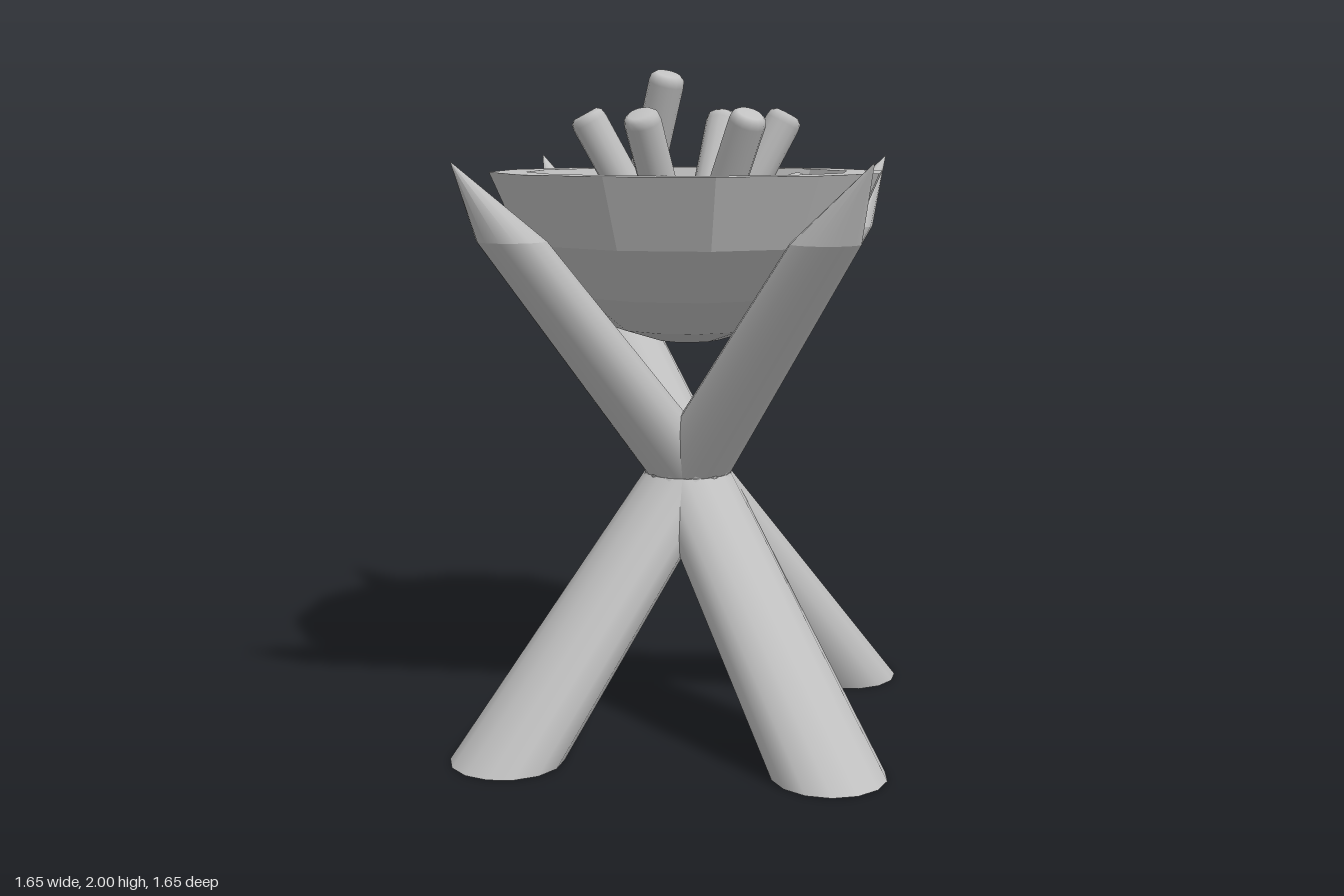
import * as THREE from 'three';

const CROSS_Y = 0.78; // height where the poles cross
const SLOPE = 0.85;   // outward lean per unit of height

export function createModel() {
  const model = new THREE.Group();
  model.name = 'brazier';
  const stone = new THREE.MeshStandardMaterial({ color: 0xc0c0c0 });
  stone.name = 'grey';
  const bowlStone = stone.clone();
  bowlStone.name = 'grey faceted';
  bowlStone.flatShading = true;

  const add = (name, geometry, parent = model, material = stone) => {
    const mesh = new THREE.Mesh(geometry, material);
    mesh.name = name;
    parent.add(mesh);
    return mesh;
  };

  // Frustum between two heights, sheared so its cross-sections stay horizontal
  const leaning = (y0, r0, y1, r1, lean, openEnded) => {
    const g = new THREE.CylinderGeometry(r1, r0, y1 - y0, 14, 1, openEnded);
    g.translate(0, (y0 + y1) / 2, 0);
    return g.applyMatrix4(new THREE.Matrix4().set(
      1, lean, 0, -lean * CROSS_Y,
      0, 1, 0, 0,
      0, 0, 1, 0,
      0, 0, 0, 1));
  };

  // Four legs, each with an upper spike on the same side
  for (let i = 0; i < 4; i++) {
    const pole = new THREE.Group();
    pole.name = 'pole' + (i + 1);
    pole.rotation.y = i * Math.PI / 2;
    add('leg', leaning(0, 0.168, CROSS_Y, 0.135, -SLOPE, false), pole);
    add('spikeShaft', leaning(CROSS_Y, 0.133, 1.51, 0.1, SLOPE, false), pole);
    add('spikeTip', leaning(1.51, 0.1, 1.735, 0, SLOPE, true), pole);
    model.add(pole);
  }

  // Twelve-sided bowl: outside, rim, inside
  const profile = [
    [0, 1.185], [0.1, 1.19], [0.23, 1.23], [0.37, 1.335], [0.505, 1.49], [0.595, 1.695],
    [0.485, 1.695], [0.42, 1.52], [0.31, 1.39], [0.17, 1.305], [0, 1.28],
  ].map(([r, y]) => new THREE.Vector2(r, y));
  add('bowl', new THREE.LatheGeometry(profile, 12), model, bowlStone);

  // Logs with softly rounded ends
  const log = (name, from, to) => {
    const a = new THREE.Vector3(...from), b = new THREE.Vector3(...to);
    const h = a.distanceTo(b), r = 0.054;
    const outline = [
      [0, 0], [r * 0.7, 0], [r * 0.93, 0.01], [r, 0.03],
      [r, h - 0.03], [r * 0.93, h - 0.01], [r * 0.7, h], [0, h],
    ].map(([x, y]) => new THREE.Vector2(x, y));
    const mesh = add(name, new THREE.LatheGeometry(outline, 14));
    mesh.position.copy(a);
    mesh.quaternion.setFromUnitVectors(new THREE.Vector3(0, 1, 0), b.sub(a).normalize());
  };

  // Logs fanning out from the middle of the bowl
  [[-0.26, -0.165], [0.26, -0.155], [-0.265, 0.125], [0.255, 0.155], [-0.01, 0.305]]
    .forEach(([x, z], i) => log('standingLog' + (i + 1), [x * 0.05, 1.33, z * 0.05], [x, 1.865, z]));

  // Tall log propped against the back, and two low ones leaning forward
  log('tallLog', [0, 1.44, -0.31], [0, 1.985, -0.1]);
  for (const s of [-1, 1]) log('lowLog', [s * 0.06, 1.43, -0.28], [s * 0.26, 1.65, 0.24]);

  return model;
}
